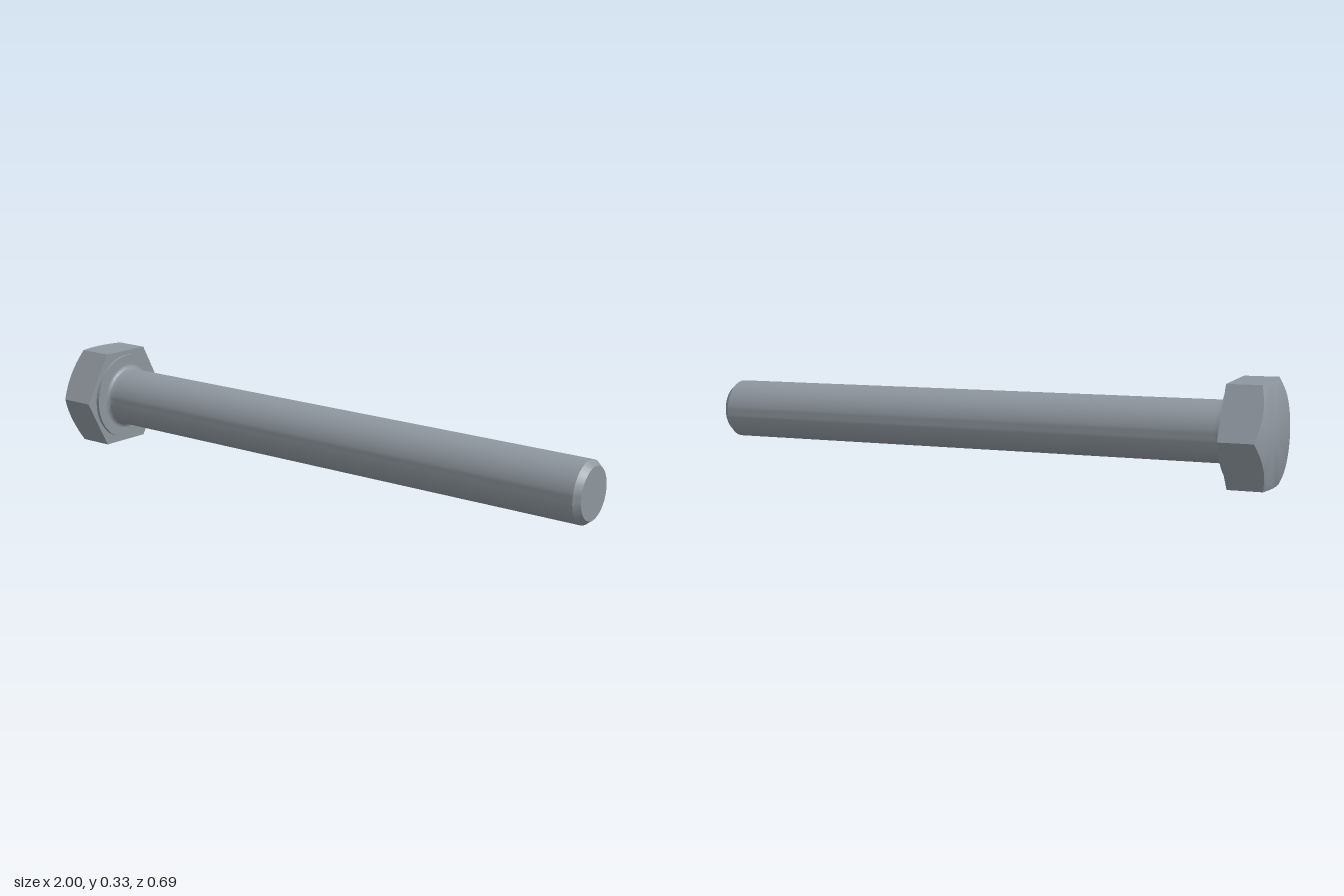
import * as THREE from 'three';
import { toCreasedNormals } from 'three/addons/utils/BufferGeometryUtils.js';

const FLAT = 0.165;      // centre to a flat of the hexagon
const HEAD = 0.13;       // head height
const LENGTH = 1.863;    // underside of the head to the tip

// Distance from the centre to the hexagon outline, flats facing +x and -x
function hexRadius(a) {
  const step = Math.PI / 3;
  const off = a - Math.round(a / step) * step;
  return FLAT / Math.cos(off);
}

function lathe(profile, segments) {
  return new THREE.LatheGeometry(profile.map(([r, y]) => new THREE.Vector2(r, y)), segments);
}

// Hexagonal head with a conical chamfer: rings of radius 1 are moved to the hexagon
function headGeometry() {
  const geo = lathe([[0, -HEAD], [0.163, -HEAD], [1, -HEAD + 0.001], [1, 0], [0, 0]], 72);
  const p = geo.attributes.position;
  for (let i = 0; i < p.count; i++) {
    const x = p.getX(i), y = p.getY(i), z = p.getZ(i);
    if (Math.hypot(x, z) < 0.9) continue;
    const a = Math.atan2(z, x), r = hexRadius(a);
    const drop = y < -0.01 ? -HEAD + (r - 0.163) * 0.577 : y;
    p.setXYZ(i, r * Math.cos(a), drop, r * Math.sin(a));
  }
  return toCreasedNormals(geo, 0.56);
}

export function createModel() {
  const steel = new THREE.MeshStandardMaterial({ color: 0x8e969e });
  steel.name = 'steel grey';
  const bolt = new THREE.Group();
  bolt.name = 'bolt';

  const add = (name, geo) => {
    geo.rotateZ(-Math.PI / 2); // lay the axis along +x
    const mesh = new THREE.Mesh(geo, steel);
    mesh.name = name;
    bolt.add(mesh);
  };

  add('hexHead', headGeometry());

  // Raised round bearing face under the head
  add('washerFace', toCreasedNormals(lathe([[0.15, 0], [0.15, 0.011], [0.09, 0.011]], 64), 0.5));

  // Shank with a fillet at the head and a chamfered tip
  const profile = [];
  for (let i = 0; i <= 5; i++) {
    const a = (i / 5) * Math.PI / 2;
    profile.push([0.115 - 0.015 * Math.sin(a), 0.011 + 0.015 * (1 - Math.cos(a))]);
  }
  profile.push([0.1, 0.04], [0.1, LENGTH - 0.02], [0.084, LENGTH], [0, LENGTH]);
  add('shank', toCreasedNormals(lathe(profile, 64), 0.5));

  // The bolt lies tilted on its head edge and its tip
  bolt.rotation.set(0, -0.2095, -0.0325);
  bolt.position.set(-0.838, 0.165, -0.138);

  const model = new THREE.Group();
  model.name = 'hexBolt';
  model.add(bolt);
  return model;
}
